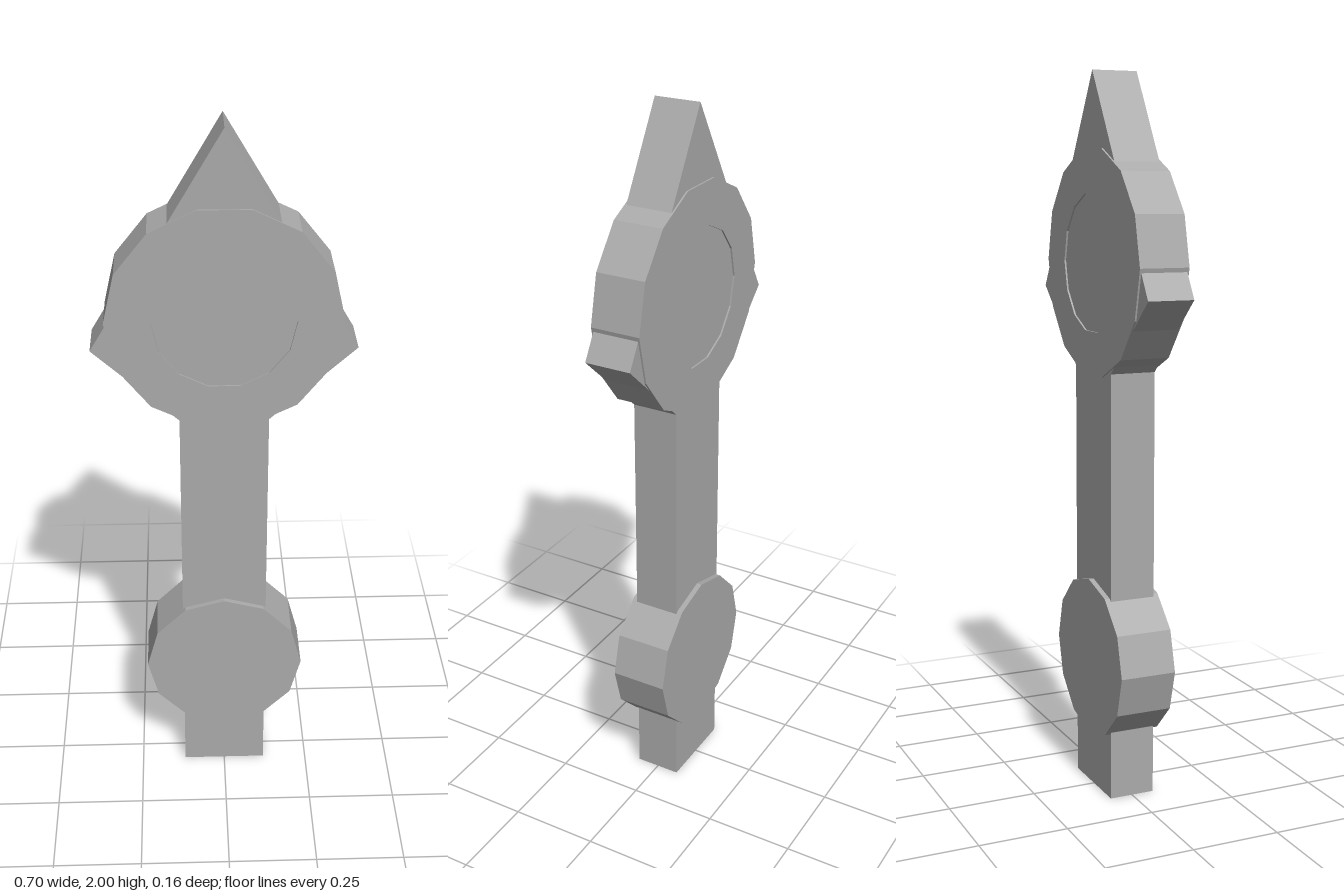
import * as THREE from 'three';

export function createModel() {
  const group = new THREE.Group();
  group.name = 'clockHand';
  const grey = new THREE.MeshStandardMaterial({ color: 0xaaaaaa });
  grey.name = 'grey metal';

  // regular polygon with a corner at the given start angle
  const polygon = (radius, sides, start = 0) =>
    Array.from({ length: sides }, (_, i) => {
      const a = start + (i / sides) * Math.PI * 2;
      return new THREE.Vector2(radius * Math.cos(a), radius * Math.sin(a));
    });

  // flat plate centred on z = 0
  const plate = (name, points, depth, y = 0, hole = null) => {
    const shape = new THREE.Shape(points);
    if (hole) shape.holes.push(new THREE.Path(hole));
    const geometry = new THREE.ExtrudeGeometry(shape, { depth, bevelEnabled: false });
    geometry.translate(0, y, -depth / 2);
    const mesh = new THREE.Mesh(geometry, grey);
    mesh.name = name;
    group.add(mesh);
  };

  // straight shaft running into the pointed head
  const half = [[0.12, 0], [0.12, 1.2], [0.35, 1.41]];
  const outline = [...half, [0, 2], ...half.map(([x, y]) => [-x, y]).reverse()];
  plate('shaftAndPoint', outline.map(([x, y]) => new THREE.Vector2(x, y)), 0.13);

  // ring around the head, leaving a shallow round recess on both faces
  plate('headRing', polygon(0.312, 14), 0.14, 1.49, polygon(0.19, 14));

  // pivot disc near the foot
  plate('pivotDisc', polygon(0.226, 12), 0.16, 0.383);

  return group;
}
